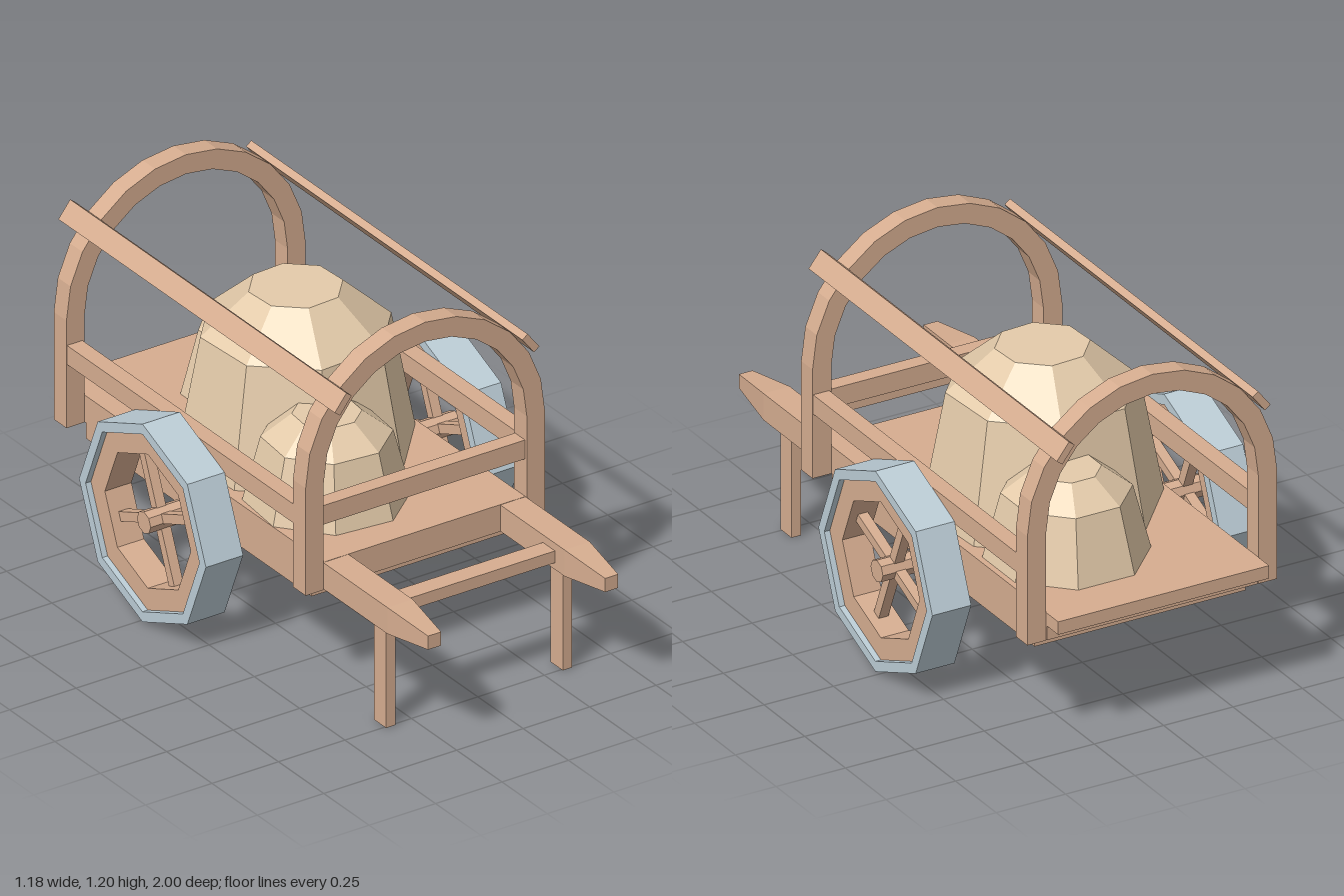
import * as THREE from 'three';

const material = (color) => new THREE.MeshStandardMaterial({ color, flatShading: true });

export function createModel() {
  const cart = new THREE.Group();
  const wood = material(0xd6ad90), cloth = material(0xe4cbaa), metal = material(0xbccdd6);

  function add(name, geometry, mat = wood, parent = cart) {
    const mesh = new THREE.Mesh(geometry, mat);
    mesh.name = name;
    parent.add(mesh);
    return mesh;
  }

  // box given by its minimum and maximum on each axis
  function box(name, x0, x1, y0, y1, z0, z1, parent = cart) {
    const g = new THREE.BoxGeometry(x1 - x0, y1 - y0, z1 - z0);
    g.translate((x0 + x1) / 2, (y0 + y1) / 2, (z0 + z1) / 2);
    return add(name, g, wood, parent);
  }

  // bed
  box('bed', -0.38, 0.38, 0.365, 0.46, -0.93, 0.455);
  box('tailLip', -0.38, 0.38, 0.415, 0.46, -1, -0.93);
  box('underBed', -0.38, 0.38, 0.31, 0.365, -0.855, 0.39);

  // hoops: upright legs joined by a half circle of twelve segments
  const springY = 0.745;
  const hoopShape = new THREE.Shape();
  hoopShape.moveTo(0.45, 0.365);
  for (let i = 0; i <= 12; i++) {
    const a = i * Math.PI / 12;
    hoopShape.lineTo(0.45 * Math.cos(a), springY + 0.45 * Math.sin(a));
  }
  hoopShape.lineTo(-0.45, 0.365);
  hoopShape.lineTo(-0.382, 0.365);
  for (let i = 12; i >= 0; i--) {
    const a = i * Math.PI / 12;
    hoopShape.lineTo(0.382 * Math.cos(a), springY + 0.382 * Math.sin(a));
  }
  hoopShape.lineTo(0.382, 0.365);
  for (const [name, z] of [['frontHoop', 0.39], ['backHoop', -0.93]]) {
    const g = new THREE.ExtrudeGeometry(hoopShape, { depth: 0.07, bevelEnabled: false });
    add(name, g).position.z = z;
  }
  box('frontRail', -0.385, 0.385, 0.59, 0.657, 0.395, 0.45);

  // parts found on both sides
  for (const s of [1, -1]) {
    const side = s > 0 ? 'left' : 'right';
    const span = (a, b) => (s > 0 ? [a, b] : [-b, -a]);

    box(side + 'SideRail', ...span(0.39, 0.448), 0.59, 0.657, -0.865, 0.395);
    box(side + 'Leg', ...span(0.315, 0.35), 0, 0.37, 0.69, 0.757);

    // handle with tapered end
    const handle = new THREE.BoxGeometry(0.095, 0.093, 0.56, 1, 1, 2);
    const p = handle.attributes.position;
    for (let i = 0; i < p.count; i++) {
      const z = p.getZ(i);
      if (z > 0.2) p.setXY(i, p.getX(i) * 0.52, p.getY(i) * 0.52);
      p.setZ(i, z < -0.2 ? 0.44 : z > 0.2 ? 1 : 0.81);
    }
    handle.translate(s * 0.333, 0.4125, 0);
    add(side + 'Handle', handle);

    // long slat lying on the shoulders of the hoops
    const slat = add(side + 'Slat', new THREE.BoxGeometry(0.025, 0.072, 1.525));
    slat.position.set(s * 0.353, 1.042, -0.2375);
    slat.rotation.z = s * 0.66;

    const wheel = makeWheel(add, wood, metal);
    wheel.name = side + 'Wheel';
    wheel.position.set(s * 0.52, 0.353, -0.235);
    cart.add(wheel);
  }
  box('handleCrossbar', -0.3, 0.3, 0.39, 0.432, 0.69, 0.757);

  const axle = new THREE.CylinderGeometry(0.038, 0.038, 1.17, 8);
  axle.rotateZ(Math.PI / 2);
  add('axle', axle).position.set(0, 0.353, -0.235);

  // faceted sacks: eight sides stacked in two tapering rings
  function sack(name, x, z, radii, heights, turn) {
    const profile = radii.map((r, i) => new THREE.Vector2(r, heights[i]));
    profile.push(new THREE.Vector2(0, heights[heights.length - 1]));
    const g = new THREE.LatheGeometry(profile, 8, turn);
    add(name, g, cloth).position.set(x, 0, z);
  }
  const turn = Math.PI / 8;
  sack('largeSack', 0, -0.255, [0.385, 0.308, 0.152], [0.46, 0.865, 1.003], turn + 0.06);
  sack('frontSack', -0.125, 0.1, [0.265, 0.208, 0.11], [0.46, 0.68, 0.755], turn - 0.1);
  sack('backSack', 0.115, -0.6, [0.265, 0.208, 0.11], [0.46, 0.68, 0.755], turn);

  return cart;
}

// eight-sided ring across the x axis
function ring(outer, inner, width) {
  const points = (r) => Array.from({ length: 8 }, (_, i) =>
    new THREE.Vector2(r * Math.cos(i * Math.PI / 4), r * Math.sin(i * Math.PI / 4)));
  const shape = new THREE.Shape(points(outer));
  shape.holes.push(new THREE.Path(points(inner)));
  const g = new THREE.ExtrudeGeometry(shape, { depth: width, bevelEnabled: false });
  g.translate(0, 0, -width / 2);
  g.rotateY(Math.PI / 2);
  return g;
}

// wheel with tyre, wooden rim and four spokes
function makeWheel(add, wood, metal) {
  const wheel = new THREE.Group();
  add('tyre', ring(0.35, 0.314, 0.14), metal, wheel);
  add('rim', ring(0.316, 0.237, 0.1), wood, wheel);
  for (let i = 0; i < 4; i++) {
    const g = new THREE.BoxGeometry(0.035, 0.23, 0.032);
    g.translate(0, 0.115, 0);
    g.rotateX(-Math.PI / 8 + i * Math.PI / 2);
    add('spoke', g, wood, wheel);
  }
  return wheel;
}
